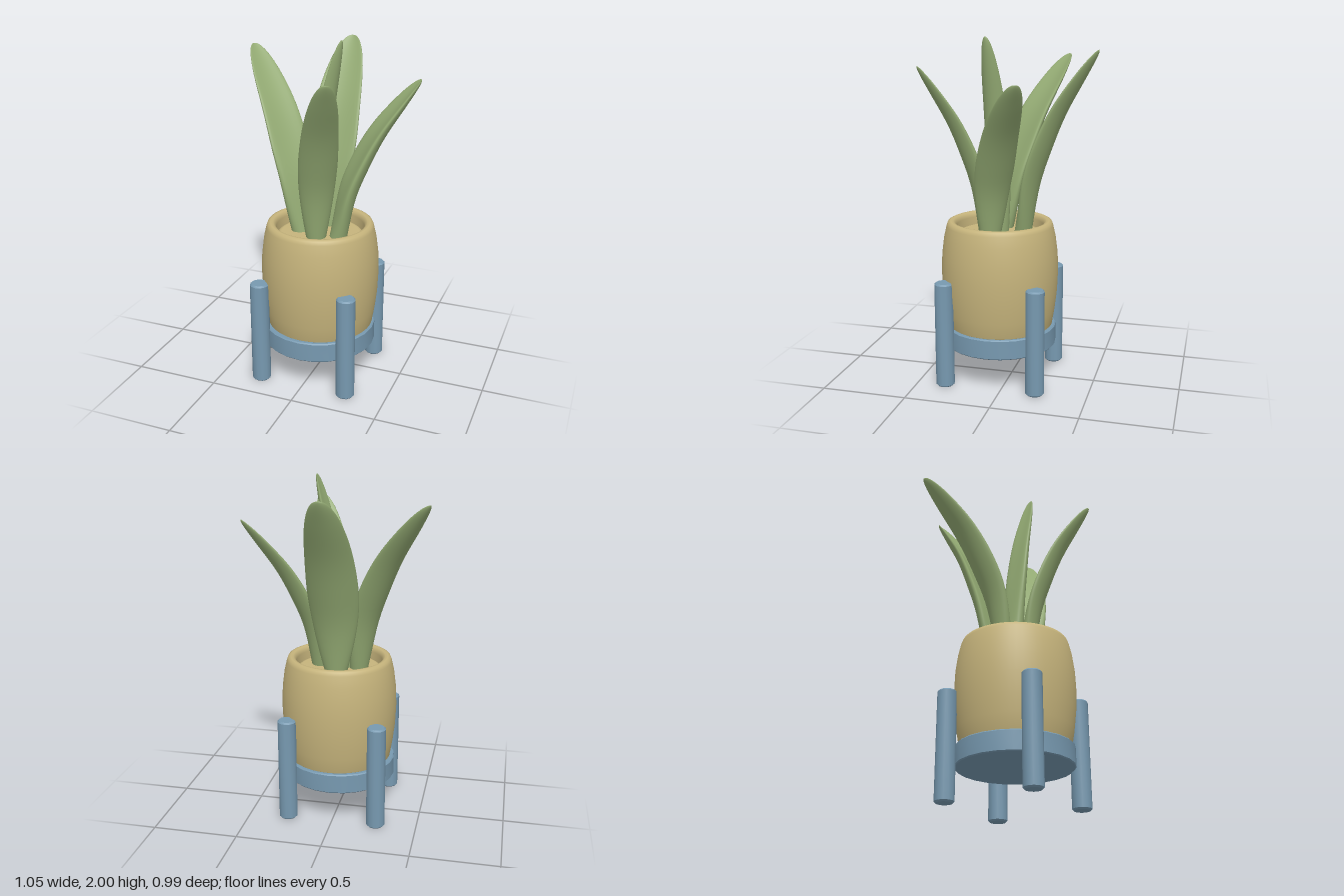
import * as THREE from 'three';
import { toCreasedNormals } from 'three/addons/utils/BufferGeometryUtils.js';

const green = new THREE.MeshStandardMaterial({ color: 0x93aa73 });
const tan = new THREE.MeshStandardMaterial({ color: 0xc6b47c });
const blue = new THREE.MeshStandardMaterial({ color: 0x7799b0 });

function addMesh(parent, name, geometry, material, x = 0, y = 0, z = 0) {
  const mesh = new THREE.Mesh(geometry, material);
  mesh.name = name;
  mesh.position.set(x, y, z);
  parent.add(mesh);
}

const lathe = (points, sides) =>
  new THREE.LatheGeometry(points.map(([r, y]) => new THREE.Vector2(r, y)), sides);

// Upright cylinder with slightly bevelled rims
function bevelledCylinder(r, h, bevel, sides) {
  const g = lathe([[0, 0], [r - bevel, 0], [r, bevel], [r, h - bevel], [r - bevel, h], [0, h]], sides);
  return toCreasedNormals(g, 0.6);
}

// Horizontal progress of a leaf against its height: steep first, then arching out
const arch = [[0, 0], [0.32, 0.125], [0.5, 0.275], [0.69, 0.49], [0.88, 0.79], [1, 1]];

// Fleshy blade: narrow at the base, wide and cupped in the middle, rounded at the tip
function leafGeometry(base, tip, halfWidth) {
  const a = new THREE.Vector3(...base), b = new THREE.Vector3(...tip);
  const spine = new THREE.CatmullRomCurve3(arch.map(([v, h]) => new THREE.Vector3(
    THREE.MathUtils.lerp(a.x, b.x, h),
    THREE.MathUtils.lerp(a.y, b.y, v),
    THREE.MathUtils.lerp(a.z, b.z, h))));
  const lean = new THREE.Vector3(b.x - a.x, 0, b.z - a.z).normalize();
  const side = new THREE.Vector3(0, 1, 0).cross(lean);
  const rows = 32, cols = 24, positions = [], index = [];
  for (let i = 0; i <= rows; i++) {
    const u = Math.sin((i / rows) * Math.PI / 2);
    const p = spine.getPointAt(u);
    const inward = spine.getTangentAt(u).cross(side);
    const swell = Math.sin(Math.min(u / 0.52, 1) * Math.PI / 2);
    const taper = Math.sqrt(Math.max(0, 1 - u ** 3.5)) + 0.001;
    const w = THREE.MathUtils.lerp(0.05, halfWidth * 1.05, swell) * taper;
    const t = THREE.MathUtils.lerp(0.05, 0.024, u) * taper;
    const cup = 0.3 * w * swell;
    for (let j = 0; j < cols; j++) {
      const angle = (j / cols) * Math.PI * 2, c = Math.cos(angle);
      const q = p.clone().addScaledVector(side, c * w)
        .addScaledVector(inward, Math.sin(angle) * t + cup * (c * c - 0.4));
      positions.push(q.x, q.y, q.z);
      if (i < rows) {
        const k = i * cols + j, n = i * cols + (j + 1) % cols;
        index.push(k, n, n + cols, k, n + cols, k + cols);
      }
    }
  }
  const g = new THREE.BufferGeometry();
  g.setAttribute('position', new THREE.Float32BufferAttribute(positions, 3));
  g.setIndex(index);
  g.computeVertexNormals();
  return g;
}

export function createModel() {
  const group = new THREE.Group();
  group.name = 'pottedPlant';

  // Stand: round tray and four posts
  const stand = new THREE.Group();
  stand.name = 'stand';
  group.add(stand);
  addMesh(stand, 'tray', bevelledCylinder(0.331, 0.118, 0.006, 24), blue, 0.006, 0.208, 0.07);
  for (const sx of [-1, 1]) for (const sz of [-1, 1]) {
    addMesh(stand, 'leg', bevelledCylinder(0.055, 0.625, 0.009, 12), blue,
      0.003 + sx * 0.264, 0, 0.066 + sz * 0.268);
  }

  // Barrel-shaped pot with a rounded lip
  const pot = new THREE.Group();
  pot.name = 'pot';
  group.add(pot);
  addMesh(pot, 'potBody', lathe([
    [0, 0.322], [0.3, 0.322], [0.31, 0.33], [0.325, 0.42], [0.338, 0.53], [0.343, 0.65],
    [0.339, 0.76], [0.326, 0.86], [0.311, 0.925], [0.303, 0.945], [0.288, 0.952],
    [0.272, 0.95], [0.26, 0.94], [0.254, 0.92], [0.252, 0.85],
  ], 56), tan, 0.012, 0, 0.07);
  addMesh(pot, 'soil', lathe([[0.254, 0.865], [0.242, 0.877], [0.225, 0.883], [0, 0.883]], 48),
    tan, 0.012, 0, 0.07);

  // Leaves: base, tip, half width
  const leaves = new THREE.Group();
  leaves.name = 'leaves';
  group.add(leaves);
  const specs = [
    ['backLeaf', [0.003, 0.84, -0.06], [0.003, 1.93, -0.49], 0.146],
    ['rightLeaf', [-0.1, 0.84, 0.078], [-0.525, 1.89, -0.232], 0.12],
    ['leftLeaf', [0.125, 0.84, 0.098], [0.52, 1.77, -0.15], 0.112],
    ['frontLeaf', [0.013, 0.84, 0.14], [0.205, 1.84, 0.49], 0.108],
    ['centreLeaf', [-0.015, 0.84, 0.075], [0.15, 2.0, 0.113], 0.074],
  ];
  for (const [name, base, tip, width] of specs) {
    addMesh(leaves, name, leafGeometry(base, tip, width), green);
  }
  return group;
}
